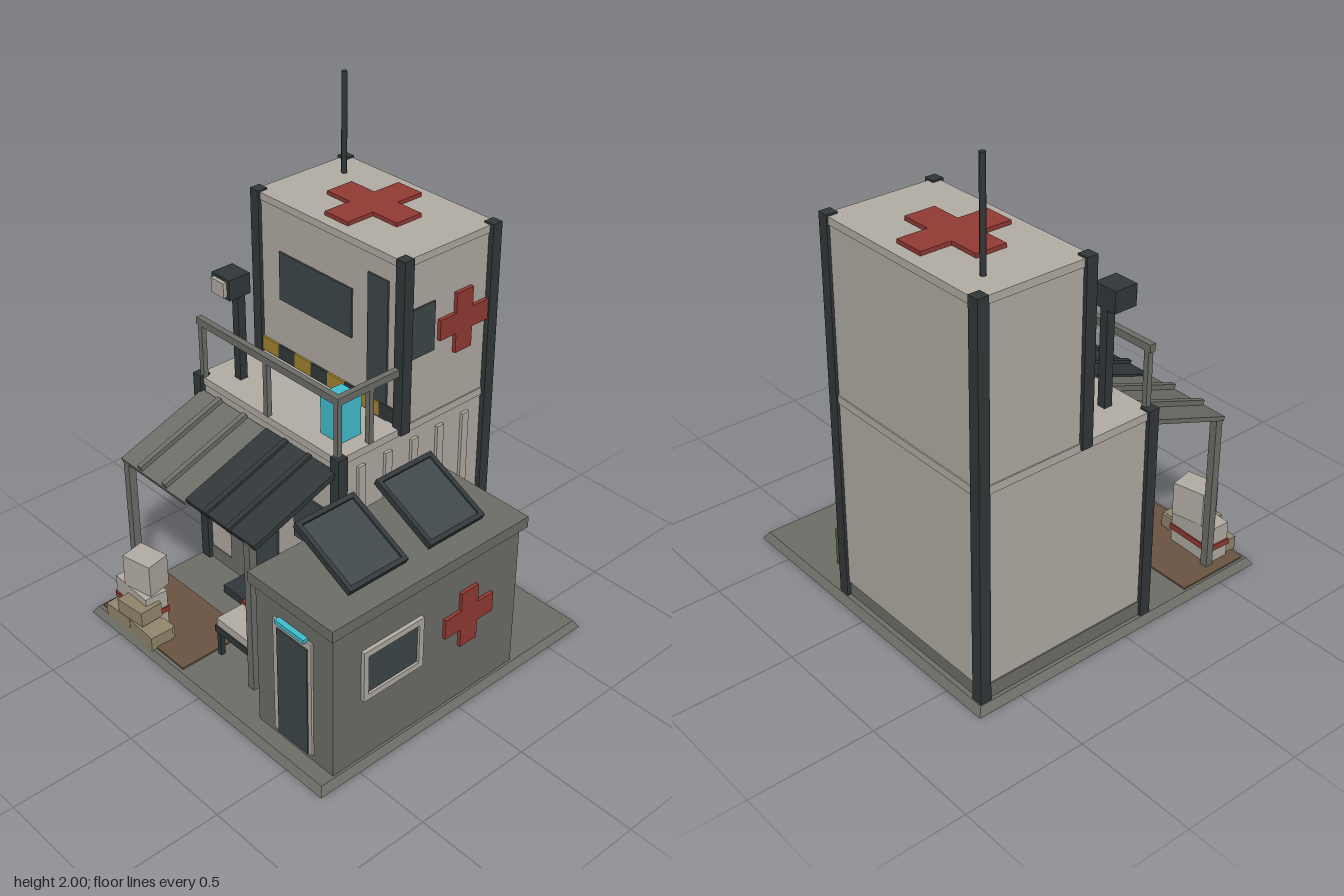
import * as THREE from 'three';

const mat = (name, color) => {
  const m = new THREE.MeshStandardMaterial({ color });
  m.name = name;
  return m;
};

export function createModel() {
  const light = mat('pale wall', 0xb3aea5), grey = mat('concrete grey', 0x6e6f68);
  const dark = mat('dark steel', 0x32383a), glass = mat('dark glass', 0x3e474a);
  const red = mat('red', 0x933a34), cyan = mat('cyan', 0x42c0d0);
  const olive = mat('olive', 0x5b6140), yellow = mat('yellow', 0xa6842f);
  const brown = mat('brown', 0x6b5542), tan = mat('sand', 0x94886d);

  const model = new THREE.Group();
  model.name = 'fieldClinic';
  const add = (name, geo, m, parent = model) => {
    const mesh = new THREE.Mesh(geo, m);
    mesh.name = name;
    parent.add(mesh);
    return mesh;
  };
  // box given by its limits on each axis
  const box = (name, m, x0, x1, y0, y1, z0, z1, parent = model) => {
    const mesh = add(name, new THREE.BoxGeometry(x1 - x0, y1 - y0, z1 - z0), m, parent);
    mesh.position.set((x0 + x1) / 2, (y0 + y1) / 2, (z0 + z1) / 2);
    return mesh;
  };
  // plus-shaped plate facing +z
  const cross = (name, size, arm, depth) => {
    const s = size / 2, a = arm / 2;
    const pts = [[-a, -s], [a, -s], [a, -a], [s, -a], [s, a], [a, a], [a, s], [-a, s], [-a, a], [-s, a], [-s, -a], [-a, -a]];
    const shape = new THREE.Shape(pts.map(p => new THREE.Vector2(...p)));
    return add(name, new THREE.ExtrudeGeometry(shape, { depth, bevelEnabled: false }), red);
  };

  // ground slab with sloping rim
  const slab = add('groundSlab', new THREE.CylinderGeometry(0.665 * Math.SQRT2, 0.685 * Math.SQRT2, 0.03, 4, 1, false, Math.PI / 4).toNonIndexed(), grey);
  slab.geometry.computeVertexNormals();
  slab.position.y = 0.015;

  // tower
  box('towerPlinth', grey, -0.65, 0.16, 0.03, 0.09, -0.645, 0.125);
  box('lowerTower', light, -0.645, 0.155, 0.09, 0.9, -0.65, 0.12);
  box('upperTower', light, -0.645, 0.155, 0.9, 1.585, -0.65, -0.185);
  box('terraceBand', light, -0.65, 0.16, 0.87, 0.902, -0.655, 0.127);
  box('roofBand', light, -0.65, 0.16, 1.56, 1.59, -0.655, -0.18);
  for (const x of [-0.638, 0.154]) {
    for (const [z, y0, y1] of [[-0.638, 0.03, 1.597], [-0.193, 0.88, 1.597], [0.119, 0.03, 0.91]]) {
      box('cornerPost', dark, x - 0.023, x + 0.023, y0, y1, z - 0.023, z + 0.023);
    }
  }
  for (let i = 0; i < 5; i++) {
    const z = -0.525 + i * 0.135;
    box('wallRib', light, 0.15, 0.168, 0.06, 0.83, z - 0.017, z + 0.017);
  }
  const mast = add('antenna', new THREE.CylinderGeometry(0.012, 0.012, 0.41, 6), dark);
  mast.position.set(-0.534, 1.795, -0.535);

  // red crosses
  const roofCross = cross('roofCross', 0.375, 0.125, 0.018);
  roofCross.rotation.x = -Math.PI / 2;
  roofCross.position.set(-0.242, 1.588, -0.415);
  for (const [size, arm, x, y, z] of [[0.25, 0.085, 0.155, 1.25, -0.49], [0.375, 0.125, 0.168, 0.5, -0.26], [0.245, 0.085, 0.653, 0.4, -0.05]]) {
    const c = cross('wallCross', size, arm, 0.016);
    c.rotation.y = Math.PI / 2;
    c.position.set(x, y, z);
  }

  // upper storey openings and striped band
  box('upperWindow', glass, -0.51, -0.105, 1.175, 1.38, -0.187, -0.178);
  box('upperDoor', glass, -0.02, 0.085, 0.902, 1.485, -0.187, -0.178);
  box('upperSideWindow', glass, 0.153, 0.162, 1.175, 1.38, -0.345, -0.22);
  for (let i = 0; i < 8; i++) {
    const x = -0.615 + i * 0.095;
    box('warningStripe', i % 2 ? dark : yellow, x, x + 0.095, 0.91, 0.97, -0.184, -0.175);
  }

  // terrace railing
  box('frontRail', grey, -0.64, 0.16, 1.13, 1.16, 0.105, 0.13);
  box('sideRail', grey, 0.135, 0.16, 1.13, 1.16, -0.17, 0.105);
  for (const [x, z] of [[-0.62, 0.118], [-0.24, 0.118], [0.147, 0.118], [0.147, -0.037]]) {
    box('railPost', grey, x - 0.011, x + 0.011, 0.9, 1.14, z - 0.011, z + 0.011);
  }

  // terrace equipment
  box('waterTank', cyan, -0.02, 0.087, 0.902, 1.07, -0.052, 0.052);
  box('lampPole', dark, -0.535, -0.5, 0.902, 1.29, 0, 0.035);
  box('lampHead', dark, -0.57, -0.467, 1.285, 1.37, 0, 0.1);
  box('lampLens', light, -0.555, -0.482, 1.297, 1.358, 0.1, 0.116);

  // ground floor front
  box('entryPanel', grey, -0.485, -0.4, 0.09, 0.72, 0.118, 0.128);
  box('entryDoor', glass, -0.38, -0.19, 0.06, 0.72, 0.118, 0.13);
  box('entryStep', dark, -0.4, -0.155, 0.03, 0.065, 0.12, 0.24);
  box('frontWindow', glass, -0.09, 0.085, 0.43, 0.645, 0.118, 0.128);

  // awning: two sloped sheets with battens
  const awning = new THREE.Group();
  awning.name = 'awning';
  awning.position.set(0, 0.84, 0.128);
  awning.rotation.x = Math.atan2(0.14, 0.395);
  model.add(awning);
  box('greySheet', grey, -0.622, -0.235, -0.012, 0.006, 0, 0.425, awning);
  box('darkSheet', dark, -0.235, 0.155, -0.01, 0.014, 0, 0.415, awning);
  for (const [x, m] of [[-0.505, grey], [-0.355, grey], [-0.115, dark], [0.015, dark]]) {
    box('batten', m, x - 0.011, x + 0.011, 0, 0.026, 0, 0.42, awning);
  }
  for (const x of [-0.6, 0.115]) box('awningPost', grey, x - 0.016, x + 0.016, 0.03, 0.705, 0.493, 0.525);

  // cot
  box('cotFrame', dark, -0.125, 0.1, 0.145, 0.175, 0.18, 0.5);
  box('cotMattress', light, -0.118, 0.095, 0.175, 0.21, 0.185, 0.495);
  box('cotBlanket', red, -0.12, 0.097, 0.2, 0.225, 0.18, 0.37);
  for (const x of [-0.125, 0.08]) for (const z of [0.19, 0.47]) box('cotLeg', dark, x, x + 0.02, 0.03, 0.15, z, z + 0.02);

  // supplies
  box('groundMat', brown, -0.655, -0.14, 0.028, 0.037, 0.335, 0.65);
  box('lowerCrate', light, -0.605, -0.4, 0.03, 0.19, 0.515, 0.615).rotation.y = -0.04;
  box('crateStrap', red, -0.61, -0.395, 0.09, 0.115, 0.51, 0.62).rotation.y = -0.04;
  box('upperCrate', light, -0.55, -0.415, 0.19, 0.33, 0.5, 0.605).rotation.y = 0.2;
  for (const [x, y, z, r] of [[-0.525, 0.03, 0.62, 0.03], [-0.375, 0.03, 0.62, -0.03], [-0.45, 0.095, 0.615, 0.05]]) {
    const bag = add('sandbag', new THREE.BoxGeometry(0.145, 0.063, 0.1), tan);
    bag.position.set(x, y + 0.0315, z);
    bag.rotation.set(0, r, r);
  }
  box('sandbag', tan, -0.375, -0.305, 0.03, 0.09, 0.56, 0.66);
  box('fuelCan', olive, 0.205, 0.325, 0.03, 0.19, -0.575, -0.505);
  box('fuelCan', olive, 0.205, 0.325, 0.03, 0.19, -0.485, -0.42);

  // annex
  box('annexBody', grey, 0.257, 0.655, 0.03, 0.66, -0.31, 0.603);
  box('annexRoof', grey, 0.237, 0.675, 0.66, 0.707, -0.332, 0.622);
  box('annexDoorFrame', light, 0.355, 0.555, 0.06, 0.57, 0.6, 0.612);
  box('annexDoor', glass, 0.38, 0.537, 0.06, 0.54, 0.61, 0.617);
  box('doorLamp', cyan, 0.38, 0.53, 0.565, 0.582, 0.6, 0.625);
  for (const [y0, y1, z0, z1] of [[0.305, 0.33, 0.185, 0.472], [0.5, 0.525, 0.185, 0.472], [0.33, 0.5, 0.185, 0.207], [0.33, 0.5, 0.45, 0.472]]) {
    box('annexWindowFrame', light, 0.65, 0.671, y0, y1, z0, z1);
  }
  box('annexWindow', glass, 0.652, 0.661, 0.33, 0.5, 0.207, 0.45);

  // tilted solar panels
  for (const z of [-0.04, 0.34]) {
    box('panelPole', dark, 0.32, 0.345, 0.7, 0.865, z - 0.013, z + 0.013);
    const panel = new THREE.Group();
    panel.name = 'solarPanel';
    panel.position.set(0.457, 0.808, z);
    panel.rotation.z = -Math.atan2(0.13, 0.27);
    model.add(panel);
    box('panelBack', dark, -0.155, 0.155, -0.012, 0.006, -0.136, 0.136, panel);
    box('panelGlass', glass, -0.135, 0.135, 0.004, 0.01, -0.116, 0.116, panel);
    for (const s of [-1, 1]) {
      box('panelRim', dark, -0.155, 0.155, 0, 0.016, s * 0.127 - 0.009, s * 0.127 + 0.009, panel);
      box('panelRim', dark, s * 0.146 - 0.009, s * 0.146 + 0.009, 0, 0.016, -0.12, 0.12, panel);
    }
  }
  return model;
}
